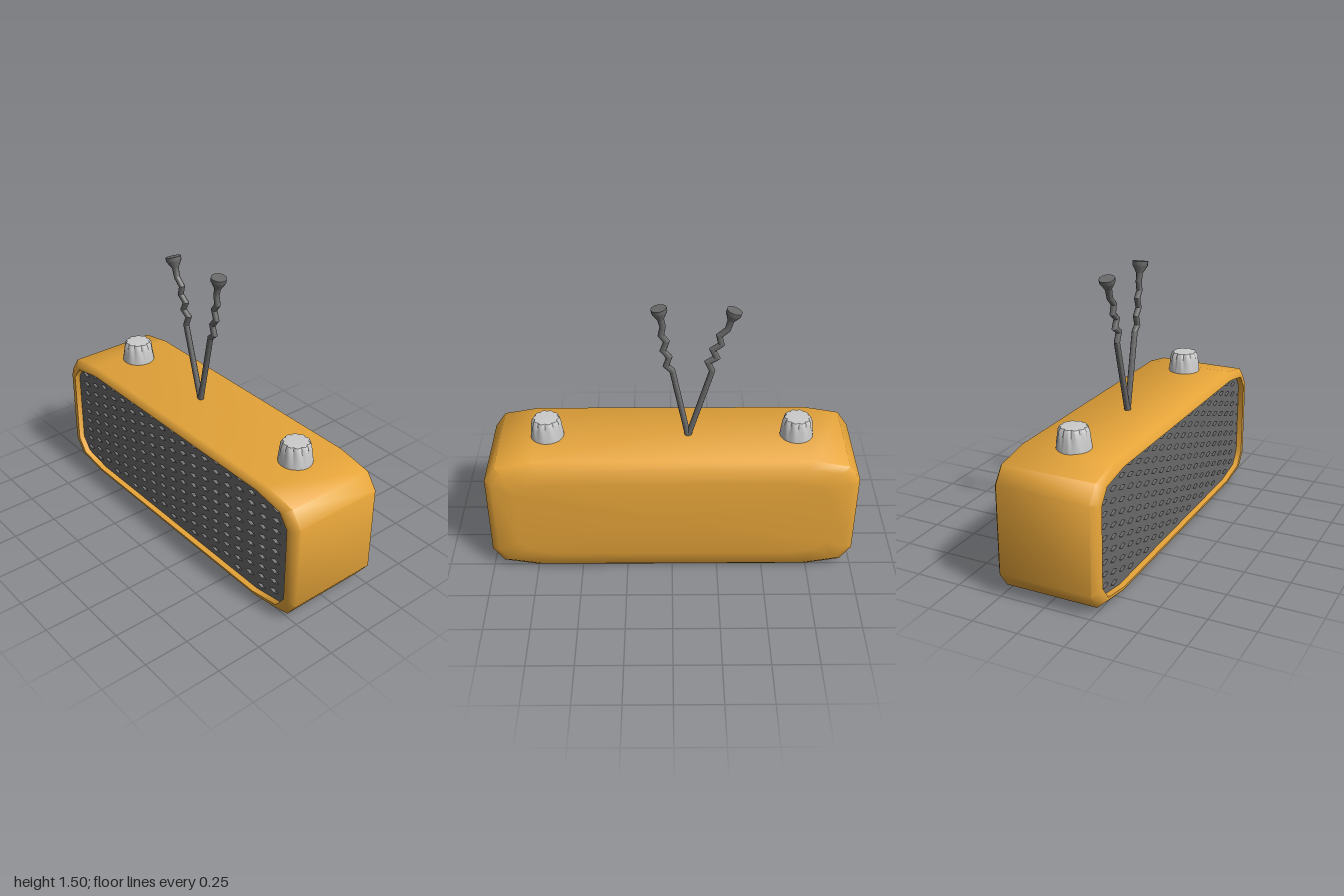
import * as THREE from 'three';
import { toCreasedNormals } from 'three/addons/utils/BufferGeometryUtils.js';

const MID = 0.36; // mid height of the case
const paint = (color) => new THREE.MeshStandardMaterial({ color });
const orange = paint(0xe8a63a);
const dark = paint(0x6a6a6a);
const silver = paint(0xcccccc);

function part(name, geometry, material) {
  const mesh = new THREE.Mesh(geometry, material);
  mesh.name = name;
  return mesh;
}

// Skin a row of equal-sized rings and cap both ends
function loft(rings, crease) {
  const n = rings[0].length, pos = [], idx = [];
  rings.forEach((ring) => ring.forEach((p) => pos.push(p.x, p.y, p.z)));
  for (let i = 0; i < rings.length - 1; i++) {
    for (let j = 0; j < n; j++) {
      const a = i * n + j, b = i * n + (j + 1) % n;
      idx.push(a, b, b + n, a, b + n, a + n);
    }
  }
  [rings[0], rings[rings.length - 1]].forEach((ring, end) => {
    const base = end ? (rings.length - 1) * n : 0;
    const c = new THREE.Vector3();
    ring.forEach((p) => c.addScaledVector(p, 1 / n));
    const centre = pos.length / 3;
    pos.push(c.x, c.y, c.z);
    for (let j = 0; j < n; j++) {
      const a = base + j, b = base + (j + 1) % n;
      if (end) idx.push(centre, a, b);
      else idx.push(centre, b, a);
    }
  });
  const g = new THREE.BufferGeometry();
  g.setAttribute('position', new THREE.Float32BufferAttribute(pos, 3));
  g.setIndex(idx);
  return toCreasedNormals(g, crease);
}

// Chamfered case outline, counter-clockwise, pulled in by (dx, dy)
function outline(dx, dy) {
  const corner = [[1, 0.24], [0.94, 0.325], [0.75, 0.36]];
  const back = [...corner].reverse();
  const all = [
    ...corner,
    ...back.map(([x, y]) => [-x, y]),
    ...corner.map(([x, y]) => [-x, -y]),
    ...back.map(([x, y]) => [x, -y]),
  ];
  return all.map(([x, y]) => new THREE.Vector2(x * (1 - dx), MID + y * (1 - dy / MID)));
}

// Case with bevelled back, front rim and shallow recess
function caseGeometry() {
  const sections = [
    [-0.295, 0.16, 0.12], [-0.28, 0.04, 0.03], [-0.25, 0, 0], [0.257, 0, 0],
    [0.287, 0.035, 0.025], [0.287, 0.063, 0.037], [0.21, 0.063, 0.037],
  ];
  const rings = sections.map(([z, dx, dy]) =>
    outline(dx, dy).map((p) => new THREE.Vector3(p.x, p.y, z)));
  return loft(rings, 1.0);
}

// Perforated panel with staggered diamond holes
function grilleGeometry() {
  const shape = new THREE.Shape(outline(0.064, 0.038));
  const diamond = (x, y, w, h) => shape.holes.push(new THREE.Path([
    new THREE.Vector2(x - w, y), new THREE.Vector2(x, y + h),
    new THREE.Vector2(x + w, y), new THREE.Vector2(x, y - h),
  ]));
  for (let col = 0; col < 19; col++) {
    const odd = col % 2 === 0;
    for (let row = 0; row < (odd ? 9 : 10); row++) {
      diamond(-0.854 + col * 0.0936, 0.65 - (row + (odd ? 0.5 : 0)) * 0.0636, 0.034, 0.014);
    }
  }
  // Tiny half-hidden holes along both sides
  for (const x of [-0.921, 0.915]) {
    for (let row = 2; row < 8; row++) diamond(x, 0.65 - row * 0.0636, 0.01, 0.006);
  }
  const g = new THREE.ExtrudeGeometry(shape, { depth: 0.02, bevelEnabled: false });
  return g.translate(0, 0, 0.235);
}

// Knob: round foot that turns into ten flutes towards the top
function knobGeometry() {
  const profile = [[0.09, -0.01], [0.089, 0.02], [0.084, 0.06], [0.08, 0.095], [0.07, 0.113], [0.04, 0.116], [0, 0.112]];
  const g = new THREE.LatheGeometry(profile.map(([r, y]) => new THREE.Vector2(r, y)), 60);
  const p = g.attributes.position;
  for (let i = 0; i < p.count; i++) {
    const x = p.getX(i), y = p.getY(i), z = p.getZ(i);
    const depth = 0.14 * THREE.MathUtils.clamp((y - 0.01) / 0.08, 0, 1);
    const k = 1 - depth * (1 - Math.abs(Math.cos(5 * Math.atan2(z, x))));
    p.setXYZ(i, x * k, y, z * k);
  }
  return toCreasedNormals(g, 0.9);
}

// Kinked aerial with mitred bends and a flared tip
function aerialGeometry(points) {
  const path = points.map(([x, y]) => new THREE.Vector2(x, y));
  const radii = path.map(() => 0.016);
  const tip = path[path.length - 1], neck = path[path.length - 2];
  const head = tip.clone().sub(neck);
  path.splice(-1, 1, neck.clone().addScaledVector(head, 0.65), tip);
  radii.splice(-2, 2, 0.018, 0.041);
  radii.push(0.042);
  const normal = (i) => {
    const d = path[i + 1].clone().sub(path[i]).normalize();
    return new THREE.Vector2(-d.y, d.x);
  };
  const last = path.length - 1;
  const rings = path.map((p, i) => {
    const n1 = normal(Math.max(i - 1, 0)), n2 = normal(Math.min(i, last - 1));
    const m = n1.clone().add(n2).normalize();
    m.divideScalar(m.dot(n1));
    return Array.from({ length: 12 }, (_, j) => {
      const a = (j / 12) * Math.PI * 2, c = Math.cos(a) * radii[i];
      return new THREE.Vector3(p.x + m.x * c, p.y + m.y * c, Math.sin(a) * radii[i]);
    });
  });
  return loft(rings, 0.6);
}

export function createModel() {
  const model = new THREE.Group();
  model.name = 'radio';
  model.add(part('case', caseGeometry(), orange));
  model.add(part('speakerGrille', grilleGeometry(), dark));

  for (const [name, side] of [['leftKnob', 1], ['rightKnob', -1]]) {
    const knob = part(name, knobGeometry(), silver);
    knob.position.set(side * 0.677, 0.72, 0);
    model.add(knob);
  }

  model.add(part('rightAerial', aerialGeometry([
    [-0.085, 0.7], [-0.21, 1.127], [-0.187, 1.18], [-0.232, 1.208], [-0.21, 1.255],
    [-0.254, 1.288], [-0.242, 1.338], [-0.284, 1.375], [-0.298, 1.425], [-0.316, 1.483],
  ]), dark));
  model.add(part('leftAerial', aerialGeometry([
    [-0.09, 0.7], [-0.002, 1.13], [0.03, 1.16], [0.014, 1.212], [0.046, 1.252],
    [0.028, 1.305], [0.056, 1.342], [0.047, 1.39], [0.057, 1.435], [0.067, 1.497],
  ]), dark));
  return model;
}
